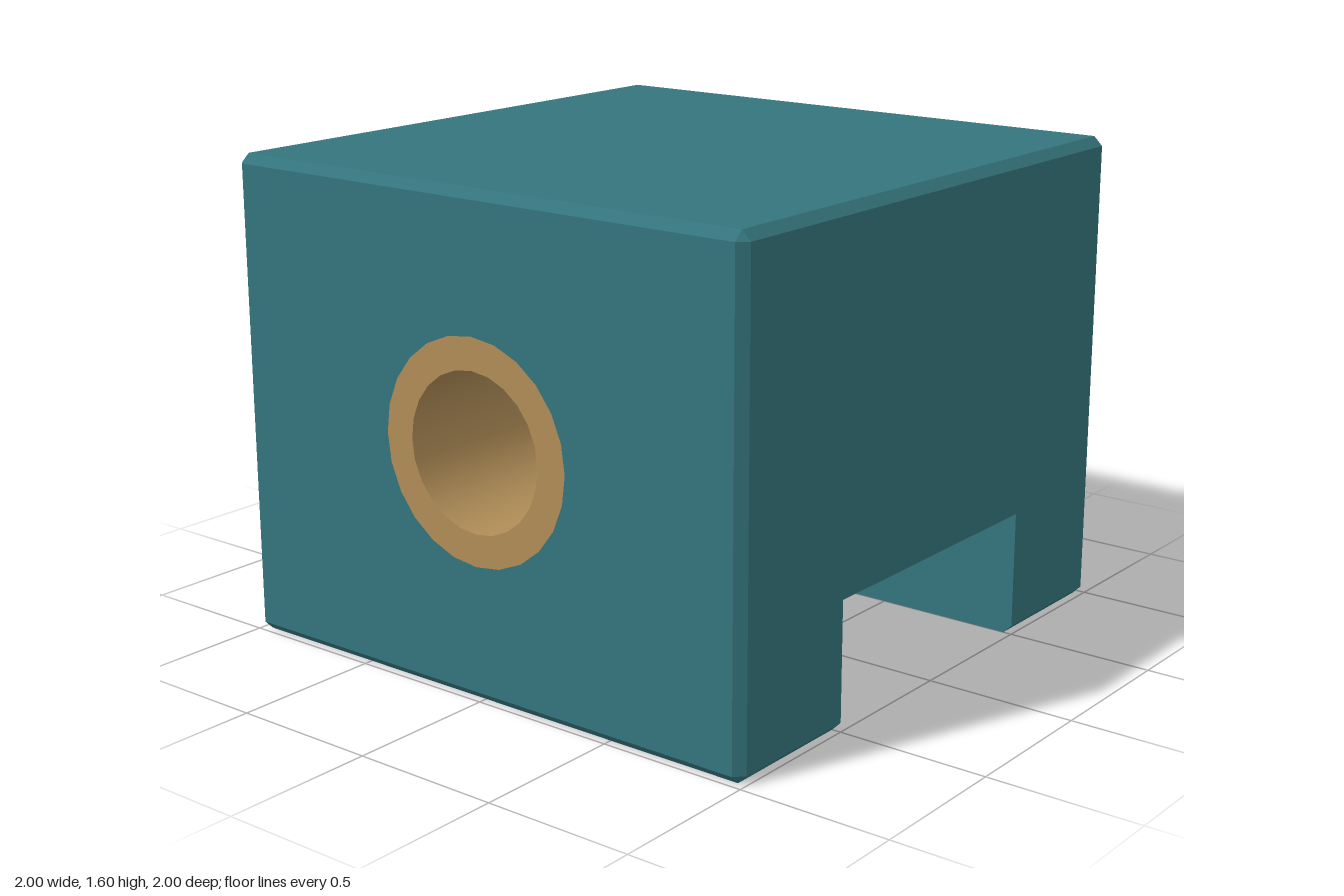
import * as THREE from 'three';
import { mergeGeometries, toCreasedNormals } from 'three/addons/utils/BufferGeometryUtils.js';

const W = 1, H = 1.6, C = 0.03;          // half width/depth, height, edge chamfer
const SLOT_Z = 0.5, SLOT_Y = 0.42;       // half width and ceiling of the underside slot
const BORE_Y = 0.8, R_OUT = 0.36, R_IN = 0.255;

// Eight-point cross-section; c is the side inset, floor lifts the lower points
function section(z, kind) {
  const i = W - C, t = H - C;
  const cap = kind === 'cap', raised = kind === 'raised';
  const w = cap ? i : W, top = cap ? t : H;
  const low = raised ? SLOT_Y : C, bottom = raised ? SLOT_Y : cap ? C : 0;
  return [[i, bottom], [w, low], [w, t], [i, top], [-i, top], [-w, t], [-w, low], [-i, bottom]]
    .map(([x, y]) => new THREE.Vector3(x, y, z));
}

// Joins consecutive sections (front to back), leaving out zero-area triangles
function loft(sections) {
  const pos = [];
  const tri = (a, b, c) => {
    if (new THREE.Triangle(a, b, c).getArea() > 1e-7) pos.push(...a.toArray(), ...b.toArray(), ...c.toArray());
  };
  for (let s = 0; s < sections.length - 1; s++) {
    const A = sections[s], B = sections[s + 1];
    for (let k = 0; k < 8; k++) {
      const n = (k + 1) % 8;
      tri(A[k], B[k], B[n]);
      tri(A[k], B[n], A[n]);
    }
  }
  const g = new THREE.BufferGeometry();
  g.setAttribute('position', new THREE.Float32BufferAttribute(pos, 3));
  g.computeVertexNormals();
  return g;
}

// Flat end face with the bore opening
function endFace() {
  const i = W - C;
  const s = new THREE.Shape([[-i, C], [i, C], [i, H - C], [-i, H - C]].map(p => new THREE.Vector2(...p)));
  s.holes.push(new THREE.Path().absarc(0, BORE_Y, R_OUT, 0, Math.PI * 2, true));
  const g = new THREE.ShapeGeometry(s, 12).toNonIndexed();
  g.deleteAttribute('uv');
  return g.translate(0, 0, W);
}

export function createModel() {
  const group = new THREE.Group();

  // Chamfered block with the slot running across its underside
  const body = loft([
    section(W, 'cap'), section(W - C), section(SLOT_Z), section(SLOT_Z, 'raised'),
    section(-SLOT_Z, 'raised'), section(-SLOT_Z), section(C - W), section(-W, 'cap'),
  ]);
  const block = new THREE.Mesh(
    mergeGeometries([body, endFace(), endFace().rotateY(Math.PI)]),
    new THREE.MeshStandardMaterial({ color: 0x34747c, flatShading: true }));
  block.name = 'block';
  group.add(block);

  // Flush bushing lining the through bore
  const ring = new THREE.Shape().absarc(0, 0, R_OUT, 0, Math.PI * 2, false);
  ring.holes.push(new THREE.Path().absarc(0, 0, R_IN, 0, Math.PI * 2, true));
  const tube = new THREE.ExtrudeGeometry(ring, { depth: 2 * W, bevelEnabled: false, curveSegments: 12 });
  const bushing = new THREE.Mesh(
    toCreasedNormals(tube.translate(0, BORE_Y, -W), 0.6),
    new THREE.MeshStandardMaterial({ color: 0xb08d57 }));
  bushing.name = 'bushing';
  group.add(bushing);

  return group;
}
